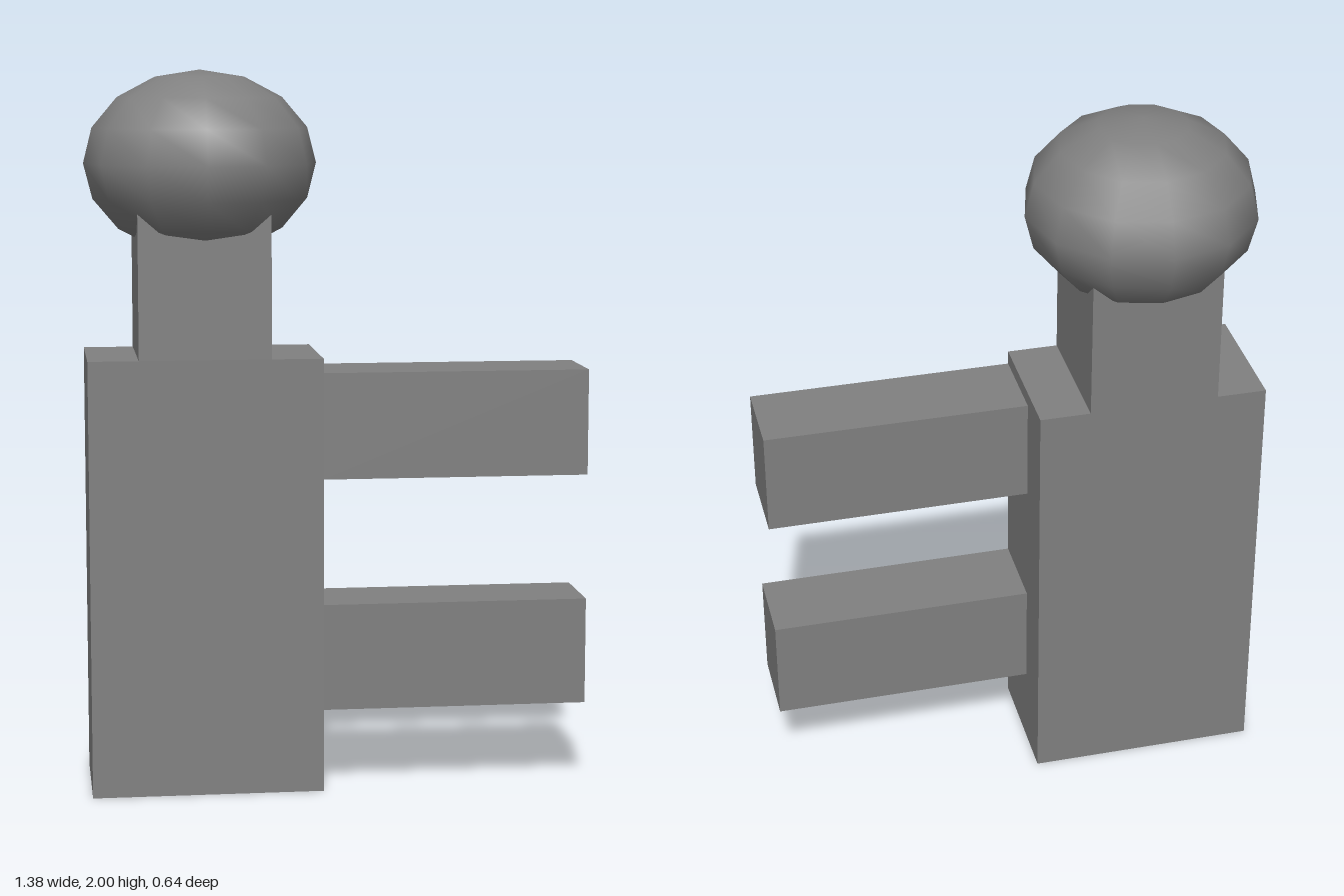
import * as THREE from 'three';

export function createModel() {
  const model = new THREE.Group();
  const grey = new THREE.MeshStandardMaterial({ color: 0x808080 });
  grey.name = 'grey';

  // Adds a block spanning two opposite corners
  const block = (name, [x0, y0, z0], [x1, y1, z1]) => {
    const mesh = new THREE.Mesh(new THREE.BoxGeometry(x1 - x0, y1 - y0, z1 - z0), grey);
    mesh.position.set((x0 + x1) / 2, (y0 + y1) / 2, (z0 + z1) / 2);
    mesh.name = name;
    model.add(mesh);
  };

  // Upright body and neck
  block('body', [-0.692, 0, -0.185], [-0.048, 1.217, 0.185]);
  block('neck', [-0.553, 1.217, -0.185], [-0.19, 1.65, 0.185]);

  // Two bars reaching sideways, flush with the front
  block('lowerBar', [-0.048, 0.232, -0.045], [0.692, 0.53, 0.185]);
  block('upperBar', [-0.048, 0.882, -0.045], [0.692, 1.177, 0.185]);

  // Squashed ball head
  const head = new THREE.Mesh(new THREE.SphereGeometry(1, 12, 8), grey);
  head.scale.set(0.322, 0.255, 0.322);
  head.position.set(-0.37, 1.745, 0);
  head.name = 'head';
  model.add(head);

  return model;
}
